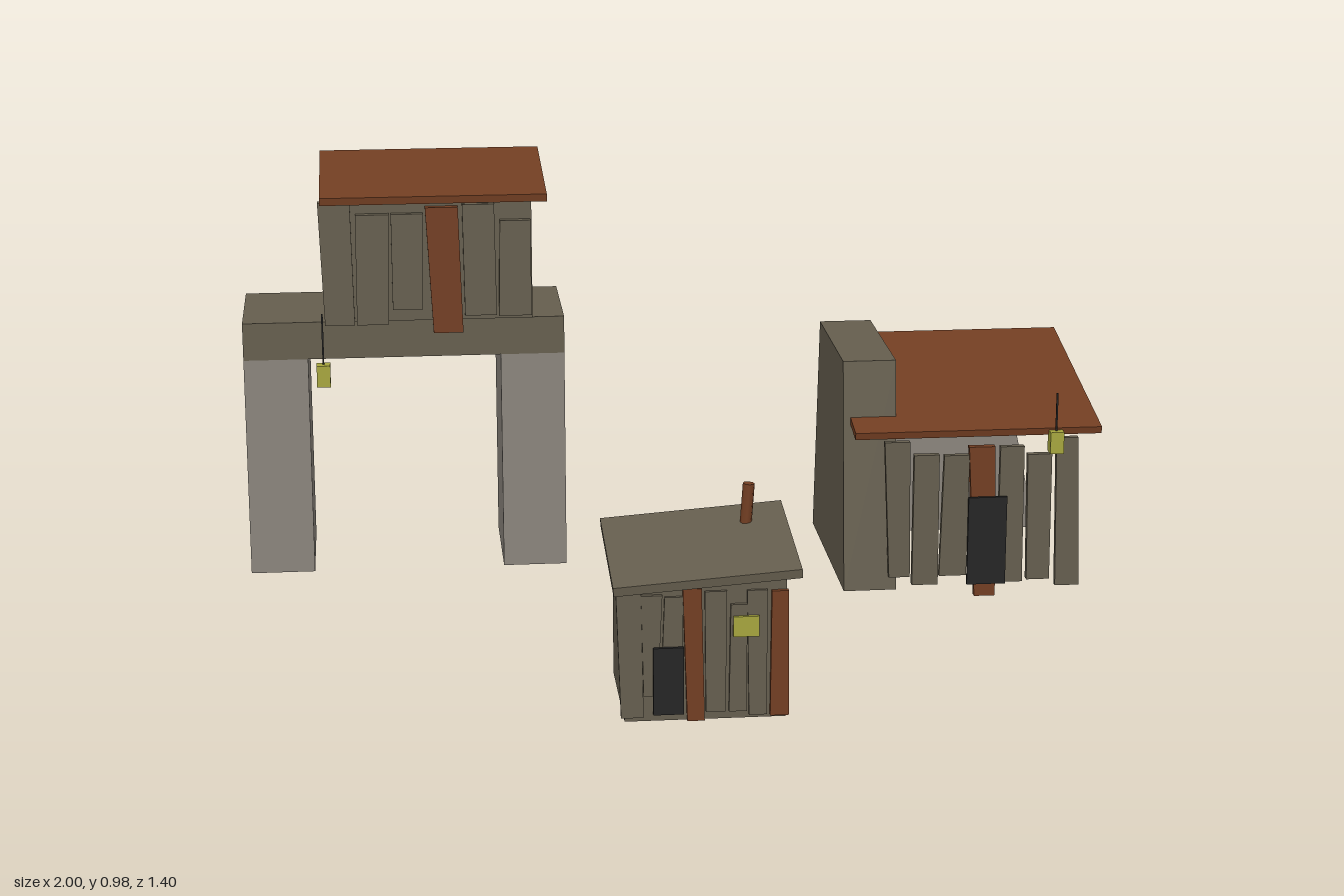
import * as THREE from 'three';

const mat = (name, color) => {
  const m = new THREE.MeshStandardMaterial({ color });
  m.name = name;
  return m;
};

export function createModel() {
  const clay = mat('clay', 0x655e4e);
  const stone = mat('pale stone', 0x8a847c);
  const rust = mat('rust', 0x723e22);
  const dark = mat('dark opening', 0x242424);
  const glow = mat('lamp yellow', 0xa6a53e);

  const add = (parent, name, geo, material) => {
    const m = new THREE.Mesh(geo, material);
    m.name = name;
    parent.add(m);
    return m;
  };
  const group = (parent, name) => {
    const g = new THREE.Group();
    g.name = name;
    parent.add(g);
    return g;
  };

  // Block whose bottom and top rectangles [x0, x1, z0, z1] may differ
  const block = (parent, name, material, y0, y1, bottom, top = bottom) => {
    const geo = new THREE.BoxGeometry(1, 1, 1);
    const p = geo.attributes.position;
    for (let i = 0; i < p.count; i++) {
      const up = p.getY(i) > 0;
      const r = up ? top : bottom;
      p.setXYZ(i, r[p.getX(i) > 0 ? 1 : 0], up ? y1 : y0, r[p.getZ(i) > 0 ? 3 : 2]);
    }
    geo.computeVertexNormals();
    return add(parent, name, geo, material);
  };

  // Row of crooked planks: [bottom x0, x1, y0, top x0, x1, y1, rusty?]
  const planks = (parent, rows, z0, z1) => {
    const g = group(parent, 'frontPlanks');
    rows.forEach(([a, b, y0, c, d, y1, rusty], i) => {
      const out = rusty ? 0.003 : (i % 2) * 0.002;
      block(g, 'plank', rusty ? rust : clay, y0, y1, [a, b, z0, z1 + out], [c, d, z0, z1 + out]);
    });
  };

  // Tilted roof sheet
  const roof = (parent, material, size, pos, tiltX, tiltZ = 0) => {
    const m = add(parent, 'roof', new THREE.BoxGeometry(...size), material);
    m.position.set(...pos);
    m.rotation.set(tiltX, 0, tiltZ);
  };

  // Box lamp hanging on a thin cord
  const lantern = (parent, x, y, z, cordTop) => {
    const g = group(parent, 'lantern');
    const h = 0.052;
    block(g, 'lampBox', glow, y, y + h, [x - 0.016, x + 0.016, z - 0.016, z + 0.016]);
    block(g, 'cord', dark, y + h, cordTop, [x - 0.002, x + 0.002, z - 0.002, z + 0.002]);
  };

  const model = new THREE.Group();
  model.name = 'shantyBuildings';

  // Gatehouse: two legs, a beam and a room on top
  const gate = group(model, 'gatehouse');
  for (const x of [-1, -0.392]) block(gate, 'leg', stone, 0.02, 0.55, [x, x + 0.152, -0.66, -0.36]);
  block(gate, 'beam', clay, 0.55, 0.64, [-1, -0.24, -0.66, -0.36]);
  block(gate, 'room', clay, 0.64, 0.93, [-0.795, -0.315, -0.66, -0.355]);
  planks(gate, [
    [-0.805, -0.735, 0.635, -0.815, -0.74, 0.93],
    [-0.73, -0.655, 0.635, -0.728, -0.65, 0.9],
    [-0.645, -0.575, 0.67, -0.645, -0.57, 0.9],
    [-0.55, -0.48, 0.612, -0.565, -0.488, 0.915, 1],
    [-0.475, -0.4, 0.652, -0.478, -0.403, 0.92],
    [-0.395, -0.318, 0.65, -0.39, -0.318, 0.88],
  ], -0.36, -0.34);
  roof(gate, rust, [0.53, 0.018, 0.382], [-0.545, 0.956, -0.51], 0.1);
  lantern(gate, -0.812, 0.49, -0.338, 0.665);

  // Small hut with a crooked flat roof and a stovepipe
  const hut = group(model, 'hut');
  block(hut, 'walls', clay, 0.012, 0.318, [-0.185, 0.16, 0.375, 0.672]);
  planks(hut, [
    [-0.193, -0.145, 0.022, -0.203, -0.15, 0.305],
    [-0.145, -0.115, 0.07, -0.15, -0.105, 0.295],
    [-0.11, -0.065, 0.03, -0.1, -0.06, 0.29],
    [-0.052, -0.015, 0.012, -0.062, -0.022, 0.308, 1],
    [-0.012, 0.03, 0.03, -0.015, 0.032, 0.3],
    [0.037, 0.075, 0.03, 0.04, 0.075, 0.27],
    [0.08, 0.118, 0.02, 0.075, 0.118, 0.3],
    [0.125, 0.165, 0.018, 0.127, 0.163, 0.298, 1],
  ], 0.67, 0.679);
  block(hut, 'door', dark, 0.03, 0.18, [-0.125, -0.06, 0.68, 0.688]);
  block(hut, 'window', glow, 0.2, 0.245, [0.045, 0.1, 0.68, 0.688]);
  roof(hut, clay, [0.4, 0.02, 0.355], [-0.01, 0.346, 0.522], 0.115, 0.075);
  const pipe = add(hut, 'stovepipe', new THREE.CylinderGeometry(0.013, 0.013, 0.125, 8), rust);
  pipe.position.set(0.102, 0.398, 0.437);
  pipe.rotation.z = -0.07;

  // Open-sided lean-to between a thick buttress and a tapered rear wall
  const shed = group(model, 'leanTo');
  block(shed, 'buttress', clay, 0.02, 0.567, [0.4, 0.525, -0.612, -0.088], [0.4, 0.525, -0.53, -0.15]);
  block(shed, 'rearWall', stone, 0.02, 0.475, [0.455, 0.95, -0.615, -0.527], [0.56, 0.855, -0.615, -0.527]);
  planks(shed, [
    [0.505, 0.555, 0.055, 0.49, 0.55, 0.388],
    [0.56, 0.622, 0.035, 0.56, 0.62, 0.355],
    [0.625, 0.69, 0.055, 0.632, 0.692, 0.352],
    [0.71, 0.76, 0.003, 0.69, 0.752, 0.372, 1],
    [0.765, 0.825, 0.035, 0.765, 0.822, 0.37],
    [0.835, 0.89, 0.04, 0.83, 0.888, 0.35],
    [0.905, 0.963, 0.022, 0.898, 0.95, 0.388],
  ], -0.089, -0.074);
  block(shed, 'door', dark, 0.035, 0.25, [0.69, 0.782, -0.071, -0.063]);
  roof(shed, rust, [0.583, 0.017, 0.553], [0.7085, 0.461, -0.326], 0.183);
  lantern(shed, 0.89, 0.362, -0.047, 0.505);

  return model;
}
